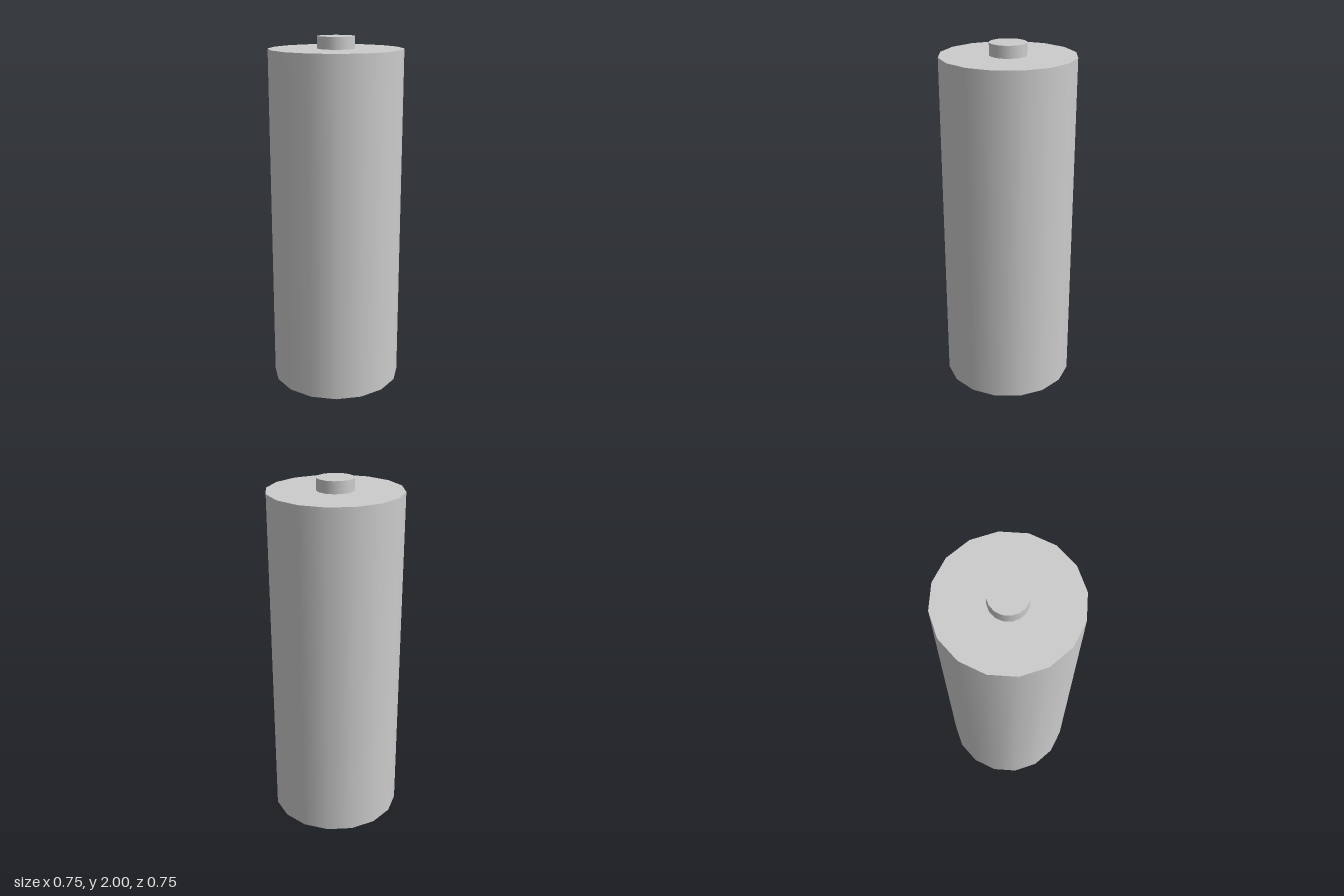
import * as THREE from 'three';

const SIDES = 16;
const BODY_TOP = 1.933;

export function createModel() {
  const model = new THREE.Group();
  model.name = 'battery';
  const material = new THREE.MeshStandardMaterial({ color: 0xcccccc });

  // Upright capped cylinder between two heights
  function addCylinder(name, radius, bottom, top) {
    const geometry = new THREE.CylinderGeometry(radius, radius, top - bottom, SIDES);
    const mesh = new THREE.Mesh(geometry, material);
    mesh.name = name;
    mesh.position.y = (bottom + top) / 2;
    model.add(mesh);
  }

  // Main casing
  addCylinder('casing', 0.373, 0, BODY_TOP);

  // Raised contact on top
  addCylinder('positiveTerminal', 0.103, BODY_TOP, 2);

  return model;
}
